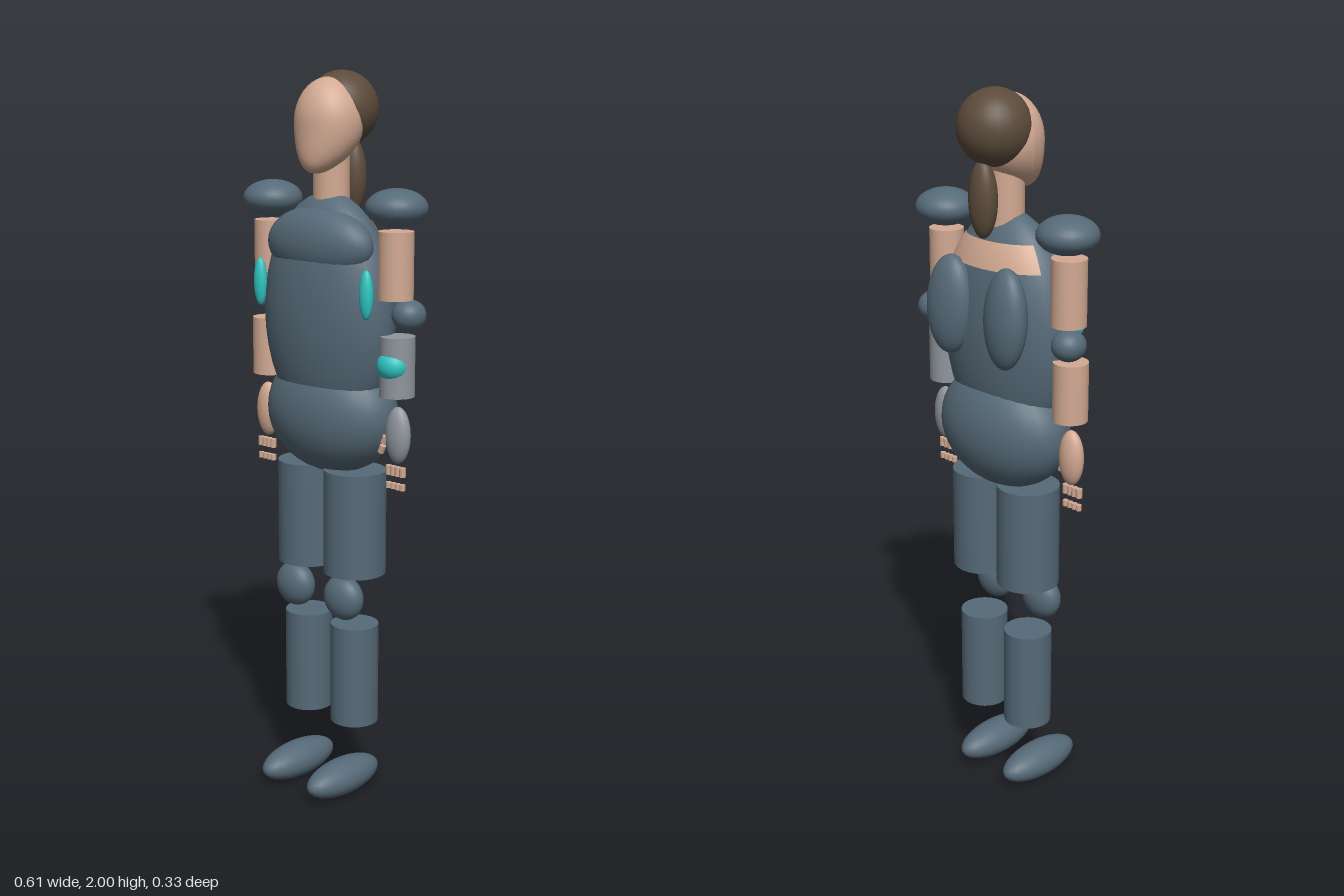
import * as THREE from 'three';

export function createModel() {
  const model = new THREE.Group();
  model.name = 'figure';

  const paint = (name, color) => {
    const m = new THREE.MeshStandardMaterial({ color });
    m.name = name;
    return m;
  };
  const suit = paint('slate suit', 0x566a78);
  const skin = paint('skin', 0xd3aa93);
  const hair = paint('brown hair', 0x5c4b3b);
  const glow = paint('cyan accent', 0x2fc6c2);
  const metal = paint('grey metal', 0x8f969d);

  const add = (name, geometry, material, pos) => {
    const mesh = new THREE.Mesh(geometry, material);
    mesh.name = name;
    mesh.position.set(...pos);
    model.add(mesh);
    return mesh;
  };
  const ellipsoid = (name, material, pos, radii) =>
    add(name, new THREE.SphereGeometry(1, 28, 20).scale(...radii), material, pos);
  // Upright cylinder between two heights
  const column = (name, material, x, z, r, y0, y1, sides = 24) =>
    add(name, new THREE.CylinderGeometry(r, r, y1 - y0, sides), material, [x, (y0 + y1) / 2, z]);

  // Head: an egg with a flatter crown and a narrowed, forward chin
  const headGeo = new THREE.SphereGeometry(1, 32, 24);
  const p = headGeo.attributes.position;
  for (let i = 0; i < p.count; i++) {
    const y = p.getY(i);
    const low = Math.max(0, -y);
    p.setXYZ(
      i,
      p.getX(i) * 0.095 * (1 - 0.15 * low * low),
      y * (y > 0 ? 0.118 : 0.13),
      p.getZ(i) * 0.09 + 0.05 * low * low
    );
  }
  headGeo.computeVertexNormals();
  add('head', headGeo, skin, [0, 1.865, -0.005]);
  ellipsoid('hair', hair, [0, 1.9, -0.054], [0.098, 0.1, 0.099]);
  ellipsoid('ponytail', hair, [0, 1.722, -0.096], [0.042, 0.102, 0.034]);
  column('neck', skin, 0, -0.014, 0.049, 1.6, 1.8);

  // Body
  ellipsoid('torso', suit, [0, 1.36, -0.005], [0.214, 0.326, 0.12]);
  ellipsoid('chest', suit, [0, 1.55, 0.03], [0.18, 0.1, 0.077]);
  ellipsoid('hips', suit, [0, 1.09, -0.018], [0.213, 0.168, 0.132]);

  // Bare strip across the upper back
  const back = new THREE.SphereGeometry(
    1, 24, 5, Math.PI / 2 - 1.15, 2.3, Math.acos(0.78), Math.acos(0.57) - Math.acos(0.78)
  );
  back.rotateY(Math.PI).scale(0.216, 0.326, 0.134);
  const backMaterial = skin;
  backMaterial.side = THREE.DoubleSide;
  // Sphere segments start at -x, so turn the strip to be centred on -z
  back.scale(1, 1, 1);
  add('bareBack', back, backMaterial, [0, 1.36, -0.004]);

  for (const [s, side] of [[1, 'left'], [-1, 'right']]) {
    const n = (part) => side + part;
    const robotic = s > 0 ? metal : skin;

    // Back pods and torso lights
    ellipsoid(n('BackPod'), suit, [s * 0.103, 1.43, -0.118], [0.072, 0.134, 0.048]).rotation.set(0.05, s * 0.15, 0);
    ellipsoid(n('TorsoLight'), glow, [s * 0.194, 1.435, 0.062], [0.02, 0.065, 0.017]);

    // Arm
    ellipsoid(n('ShoulderPad'), suit, [s * 0.225, 1.656, -0.019], [0.082, 0.05, 0.082]);
    column(n('UpperArm'), skin, s * 0.228, -0.015, 0.047, 1.42, 1.597);
    ellipsoid(n('Elbow'), suit, [s * 0.253, 1.378, -0.04], [0.045, 0.042, 0.047]);
    column(n('Forearm'), robotic, s * 0.237, -0.014, 0.047, 1.165, 1.325);
    ellipsoid(n('Hand'), robotic, [s * 0.243, 1.06, -0.013], [0.038, 0.077, 0.027]);

    // Fingers: two rows of short joints, plus a two-joint thumb
    for (let i = 0; i < 4; i++) {
      const x = s * (0.242 + (i - 1.5) * 0.016);
      column(n('FingerBase'), skin, x, -0.006, 0.009, 0.951, 0.976, 10);
      column(n('FingerTip'), skin, x, -0.006, 0.008, 0.914, 0.93, 10);
    }
    for (const [x, y] of [[0.208, 1.045], [0.198, 1.018]]) {
      column(n('Thumb'), skin, s * x, 0, 0.009, y - 0.011, y + 0.011, 10).rotation.z = -s * 0.4;
    }

    // Leg
    column(n('Thigh'), suit, s * 0.087, -0.016, 0.0865, 0.648, 0.94);
    ellipsoid(n('Knee'), suit, [s * 0.092, 0.584, 0.034], [0.064, 0.063, 0.042]);
    column(n('Shin'), suit, s * 0.088, -0.016, 0.067, 0.21, 0.497);
    ellipsoid(n('Foot'), suit, [s * 0.088, 0.05, 0.031], [0.056, 0.05, 0.136]);
  }

  // Light on the metal forearm
  ellipsoid('forearmLight', glow, [0.237, 1.248, 0.006], [0.044, 0.041, 0.038]);

  return model;
}
